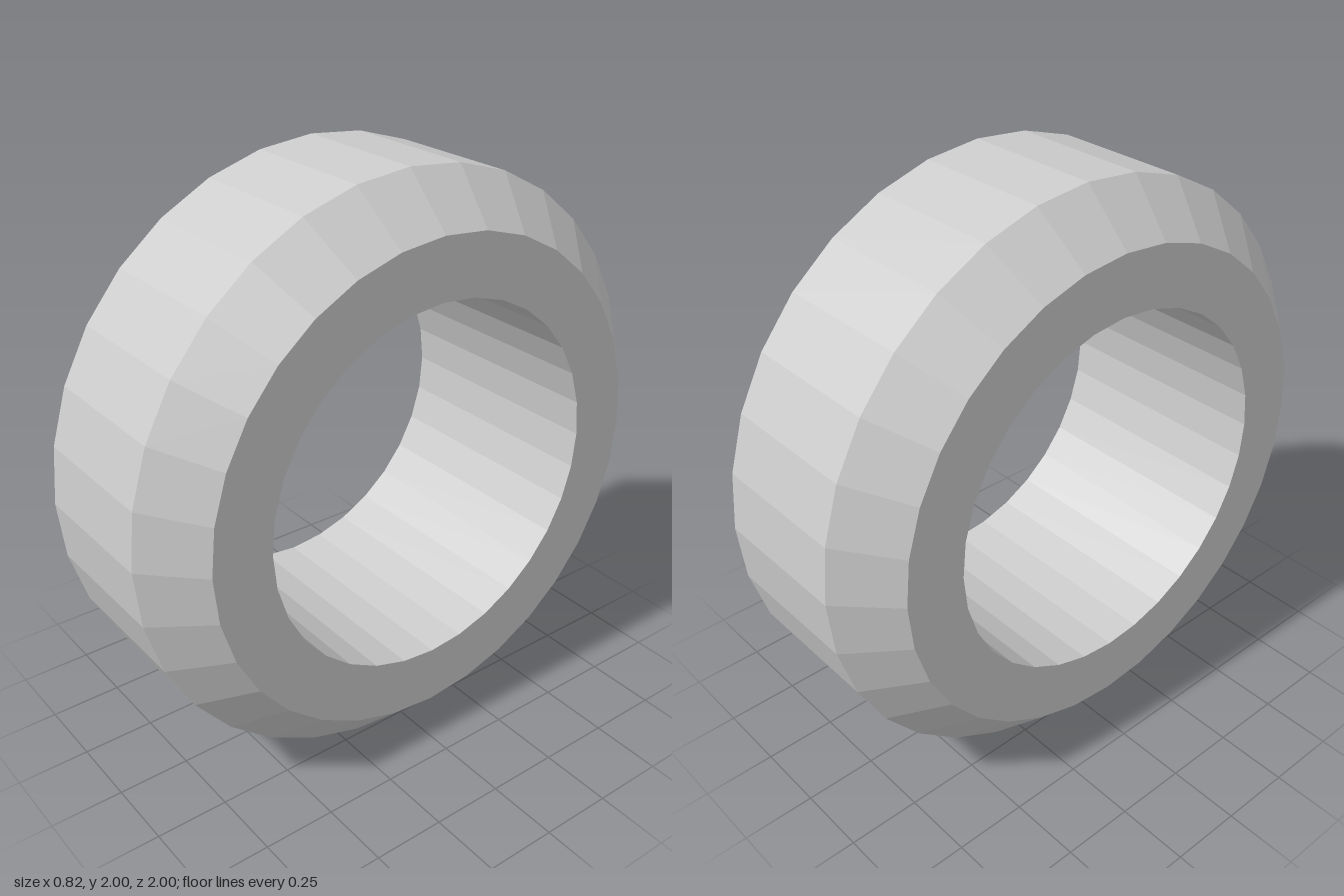
import * as THREE from 'three';

export function createModel() {
  const model = new THREE.Group();
  model.name = 'wheelRing';

  const lightGrey = new THREE.MeshStandardMaterial({ color: 0xcccccc, flatShading: true });
  lightGrey.name = 'lightGrey';

  const boreRadius = 0.63, rimRadius = 0.835, treadRadius = 1;
  const halfWidth = 0.41, halfTread = 0.245;

  // Closed cross-section: side wall, bevel, tread, bevel, side wall, bore
  const profile = [
    [boreRadius, -halfWidth],
    [rimRadius, -halfWidth],
    [treadRadius, -halfTread],
    [treadRadius, halfTread],
    [rimRadius, halfWidth],
    [boreRadius, halfWidth],
    [boreRadius, -halfWidth],
  ].map(([r, y]) => new THREE.Vector2(r, y));

  // Ring turned so its axle runs along x, standing on its tread
  const geometry = new THREE.LatheGeometry(profile, 32);
  geometry.rotateZ(Math.PI / 2);
  const tyre = new THREE.Mesh(geometry, lightGrey);
  tyre.name = 'tyre';
  tyre.position.y = treadRadius;
  model.add(tyre);

  return model;
}
